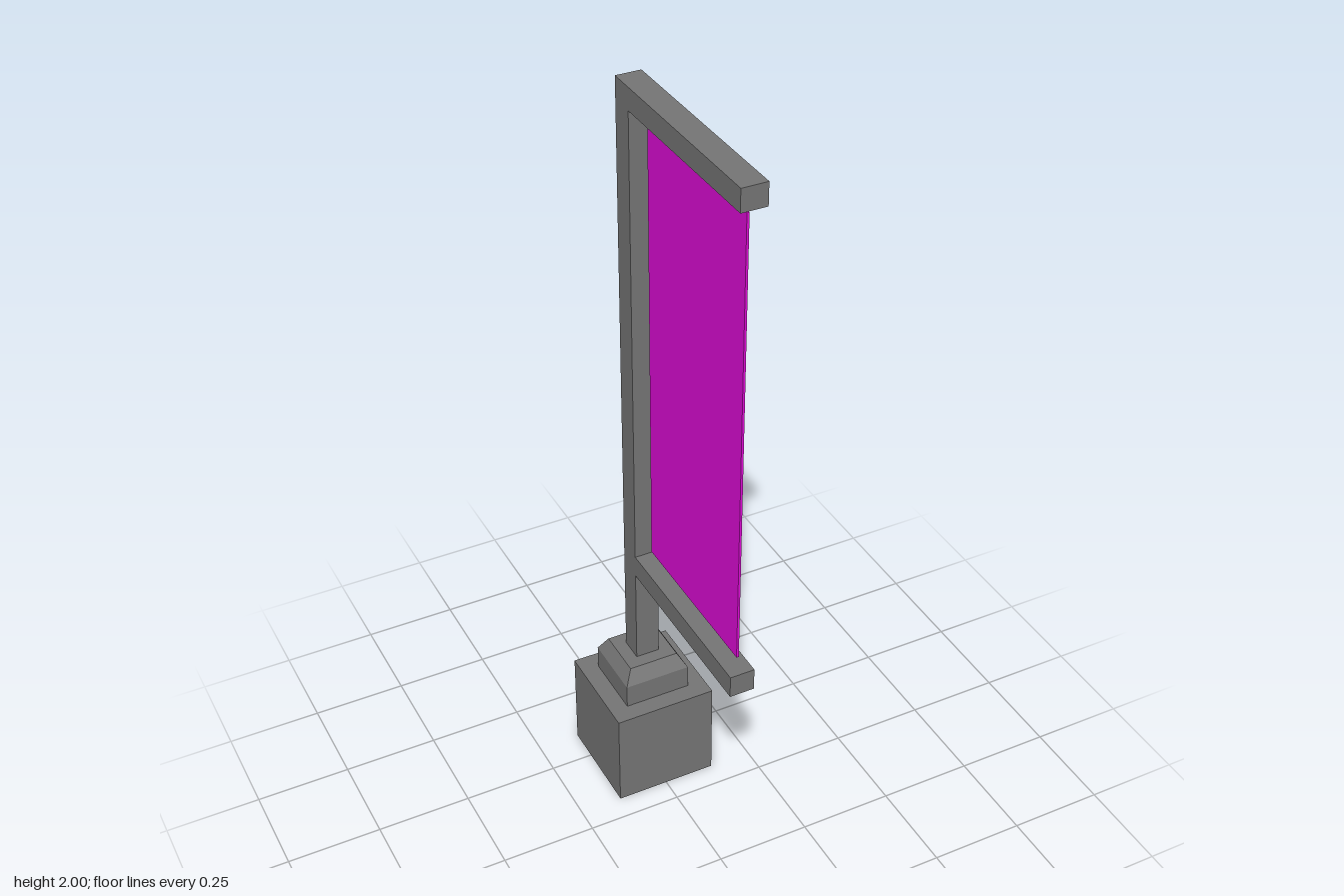
import * as THREE from 'three';

const POLE_Z = -0.201;

export function createModel() {
  const model = new THREE.Group();
  model.name = 'bannerPost';
  const darkGrey = new THREE.MeshStandardMaterial({ color: 0x767676, flatShading: true });
  const magenta = new THREE.MeshStandardMaterial({ color: 0xe00cd8, flatShading: true });

  const add = (name, geometry, material = darkGrey) => {
    const mesh = new THREE.Mesh(geometry, material);
    mesh.name = name;
    model.add(mesh);
  };

  // Box given by its width, centred on x, and its y and z ranges
  const block = (width, y0, y1, z0, z1) =>
    new THREE.BoxGeometry(width, y1 - y0, z1 - z0)
      .translate(0, (y0 + y1) / 2, (z0 + z1) / 2);

  // Square foot
  add('base', block(0.274, 0, 0.275, POLE_Z - 0.137, POLE_Z + 0.137));

  // Collar: straight lower step with a tapered top
  add('collar', block(0.178, 0.275, 0.34, POLE_Z - 0.089, POLE_Z + 0.089));
  add('collarTaper', new THREE.CylinderGeometry(0.067 * Math.SQRT2, 0.089 * Math.SQRT2, 0.04, 4, 1)
    .rotateY(Math.PI / 4)
    .translate(0, 0.36, POLE_Z));

  // Pole and the two arms reaching forward, as one bracket outline
  const bracket = new THREE.Shape([
    [-0.233, 0.38], [-0.169, 0.38], [-0.169, 0.653], [0.338, 0.653], [0.338, 0.713],
    [-0.169, 0.713], [-0.169, 1.944], [0.338, 1.944], [0.338, 2], [-0.233, 2],
  ].map(([z, y]) => new THREE.Vector2(-z, y)));
  add('poleAndArms', new THREE.ExtrudeGeometry(bracket, { depth: 0.064, bevelEnabled: false })
    .translate(0, 0, -0.032)
    .rotateY(Math.PI / 2));

  // Thin banner hanging between the arms
  add('banner', block(0.006, 0.745, 1.926, -0.135, 0.313), magenta);

  return model;
}
